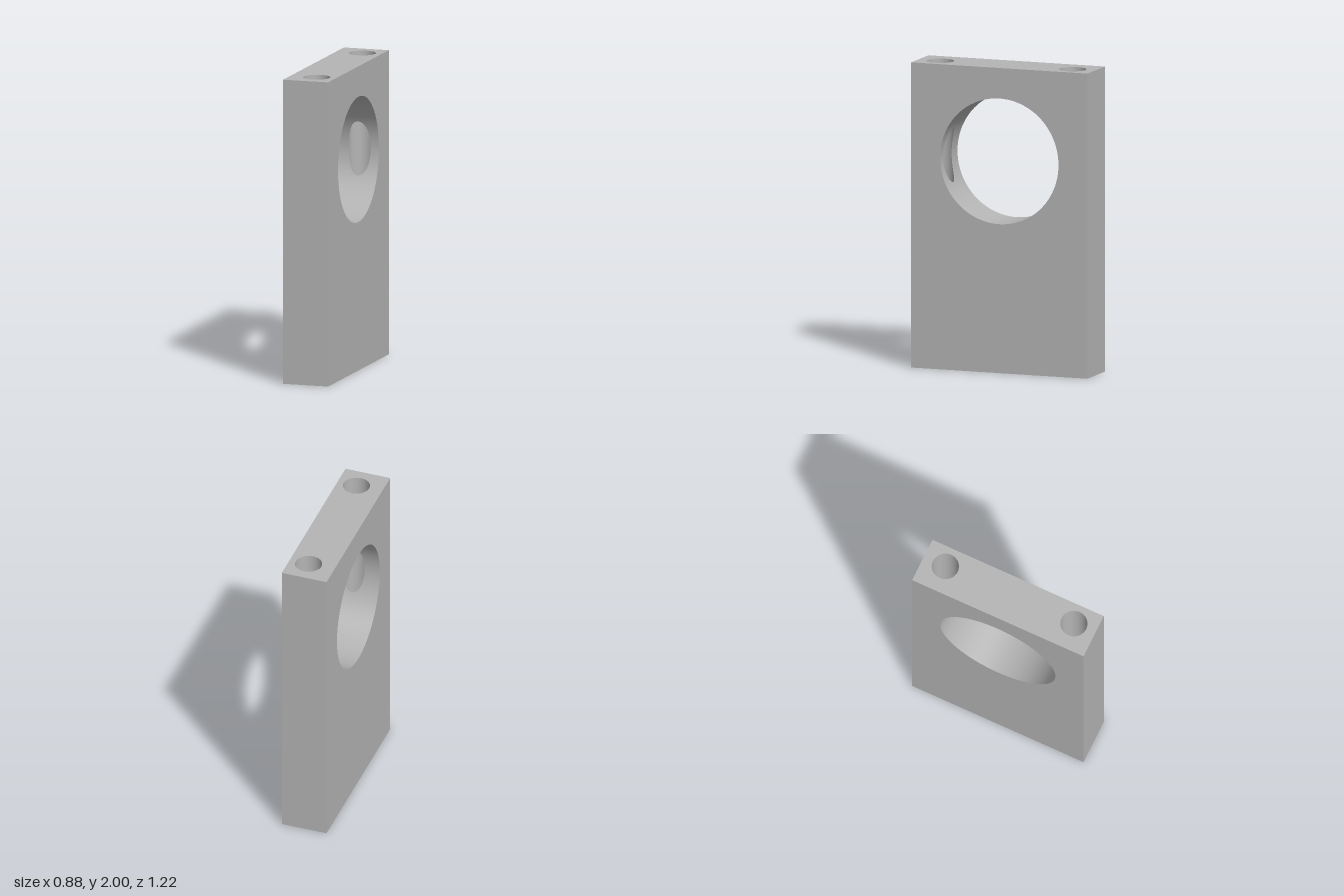
import * as THREE from 'three';

// Plate size, large cross hole, and the two vertical bores that break into it
const W = 1.226, H = 2, T = 0.307;
const R = 0.412, HOLE_Y = 1.388;
const r = 0.088, BORE_X = 0.46, BORE_Z = -0.024;

const holeWindow = Math.acos((BORE_X - r) / R);
const boreWindow = Math.acos((BORE_X - R) / r);

// Rectangle with round holes [x, y, radius]
function holedFace(w, h, holes) {
  const shape = new THREE.Shape([
    new THREE.Vector2(-w / 2, -h / 2), new THREE.Vector2(w / 2, -h / 2),
    new THREE.Vector2(w / 2, h / 2), new THREE.Vector2(-w / 2, h / 2),
  ]);
  for (const [x, y, radius] of holes) {
    shape.holes.push(new THREE.Path().absarc(x, y, radius, 0, Math.PI * 2, true));
  }
  return new THREE.ShapeGeometry(shape, 48);
}

// Angles round a circle, packed closely at the ends of each window
function angles(centers, half) {
  const list = [];
  const gap = Math.PI * 2 / centers.length - 2 * half;
  for (const c of centers) {
    for (let i = 0; i <= 32; i++) list.push(c + half * Math.sin((i / 32 - 0.5) * Math.PI));
    for (let i = 1; i < 48; i++) list.push(c + half + gap * i / 48);
  }
  list.push(centers[0] - half + Math.PI * 2);
  return list;
}

// Smooth inward-facing wall; ring(angle) gives its two edge points and normal
function wall(list, ring) {
  const pos = [], nor = [], idx = [];
  list.forEach((a, i) => {
    const [p, q, n] = ring(a);
    pos.push(...p, ...q);
    nor.push(...n, ...n);
    if (i) {
      const k = 2 * i;
      idx.push(k - 2, k - 1, k, k - 1, k + 1, k);
    }
  });
  const g = new THREE.BufferGeometry();
  g.setAttribute('position', new THREE.Float32BufferAttribute(pos, 3));
  g.setAttribute('normal', new THREE.Float32BufferAttribute(nor, 3));
  g.setIndex(idx);
  return g;
}

const root = v => Math.sqrt(Math.max(0, v));

export function createModel() {
  const model = new THREE.Group();
  model.name = 'mountingPlate';
  const plate = new THREE.Group();
  plate.name = 'plate';
  plate.rotation.y = -Math.PI / 3;
  model.add(plate);

  const grey = new THREE.MeshStandardMaterial({ color: 0xb4b4b4 });
  grey.name = 'plain grey';
  const add = (name, geometry) => {
    const mesh = new THREE.Mesh(geometry, grey);
    mesh.name = name;
    plate.add(mesh);
  };

  // Broad faces with the large hole
  const broad = () => holedFace(W, H, [[0, HOLE_Y - H / 2, R]]);
  add('frontFace', broad().translate(0, H / 2, T / 2));
  add('backFace', broad().rotateY(Math.PI).translate(0, H / 2, -T / 2));

  // Top and bottom with the bore openings
  const edge = z => holedFace(W, T, [[-BORE_X, z, r], [BORE_X, z, r]]);
  add('topFace', edge(-BORE_Z).rotateX(-Math.PI / 2).translate(0, H, 0));
  add('bottomFace', edge(BORE_Z).rotateX(Math.PI / 2));

  // Narrow sides
  for (const s of [-1, 1]) {
    add(s > 0 ? 'leftSide' : 'rightSide',
      new THREE.PlaneGeometry(T, H).rotateY(s * Math.PI / 2).translate(s * W / 2, H / 2, 0));
  }

  // Large hole wall, in halves that part around the bore windows
  for (const s of [-1, 1]) {
    add(s > 0 ? 'holeWallFront' : 'holeWallBack', wall(angles([0, Math.PI], holeWindow), a => {
      const x = R * Math.cos(a), y = HOLE_Y + R * Math.sin(a);
      const cut = BORE_Z + s * root(r * r - (BORE_X - Math.abs(x)) ** 2);
      const z = s > 0 ? [cut, T / 2] : [-T / 2, cut];
      return [[x, y, z[0]], [x, y, z[1]], [-Math.cos(a), -Math.sin(a), 0]];
    }));
  }

  // Bore walls, each parted above and below its window
  for (const side of [-1, 1]) {
    for (const s of [-1, 1]) {
      const name = (side > 0 ? 'leftBore' : 'rightBore') + (s > 0 ? 'Upper' : 'Lower');
      add(name, wall(angles([side > 0 ? Math.PI : 0], boreWindow), a => {
        const x = side * BORE_X + r * Math.cos(a), z = BORE_Z - r * Math.sin(a);
        const cut = HOLE_Y + s * root(R * R - x * x);
        const y = s > 0 ? [cut, H] : [0, cut];
        return [[x, y[0], z], [x, y[1], z], [-Math.cos(a), 0, Math.sin(a)]];
      }));
    }
  }

  return model;
}
